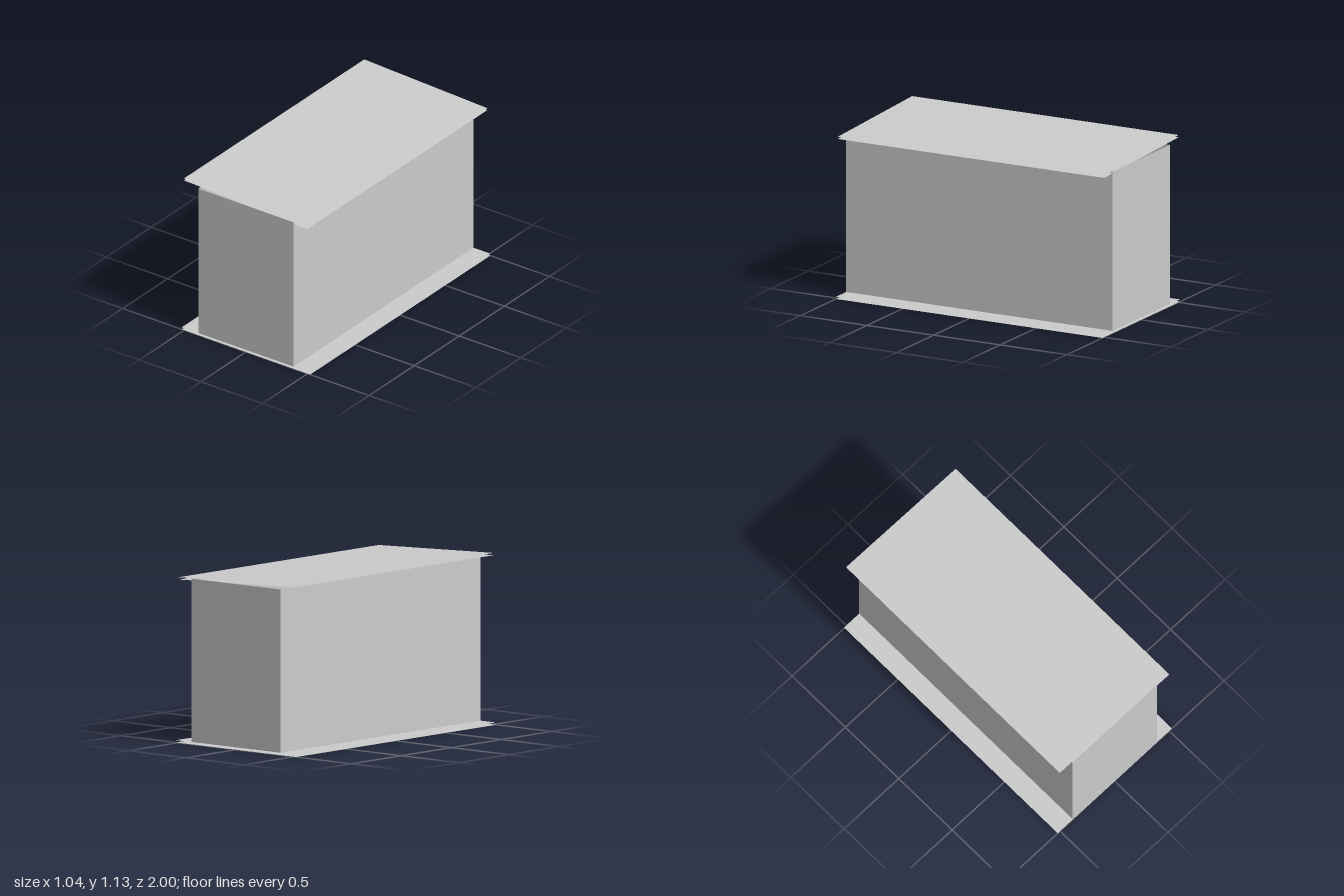
import * as THREE from 'three';

const material = new THREE.MeshStandardMaterial({ color: 0xcccccc, flatShading: true, side: THREE.DoubleSide });

const LENGTH = 2;        // along z
const GAP = 0.015;       // spacing between the two skins of a panel
const WALL_X = 0.386;    // half width of the walls
const WALL_Y0 = 0.016, WALL_Y1 = 1.096;

function sheet(name, width, height) {
  const mesh = new THREE.Mesh(new THREE.PlaneGeometry(width, height), material);
  mesh.name = name;
  return mesh;
}

// Panel of two parallel skins with open edges, its lower skin at y = 0
function panel(name, width) {
  const group = new THREE.Group();
  group.name = name;
  const top = sheet(name + 'TopSkin', width, LENGTH);
  top.rotation.x = -Math.PI / 2;
  top.position.y = GAP;
  const bottom = sheet(name + 'BottomSkin', width, LENGTH);
  bottom.rotation.x = Math.PI / 2;
  group.add(top, bottom);
  return group;
}

export function createModel() {
  const model = new THREE.Group();
  model.name = 'shed';

  // Floor panel
  model.add(panel('floor', 1.042));

  // Four walls, open at the top
  const height = WALL_Y1 - WALL_Y0;
  const walls = new THREE.Group();
  walls.name = 'walls';
  walls.position.y = (WALL_Y0 + WALL_Y1) / 2;
  for (const s of [1, -1]) {
    const end = sheet(s > 0 ? 'frontWall' : 'backWall', WALL_X * 2, height);
    end.position.z = s * LENGTH / 2;
    end.rotation.y = s > 0 ? 0 : Math.PI;
    const side = sheet(s > 0 ? 'leftWall' : 'rightWall', LENGTH, height);
    side.position.x = s * WALL_X;
    side.rotation.y = s * Math.PI / 2;
    walls.add(end, side);
  }
  model.add(walls);

  // Roof panel, sloping down towards +x
  const roof = panel('roof', 1.0);
  roof.position.set(-0.003, 1.1, 0);
  roof.rotation.z = -0.04;
  model.add(roof);

  return model;
}
